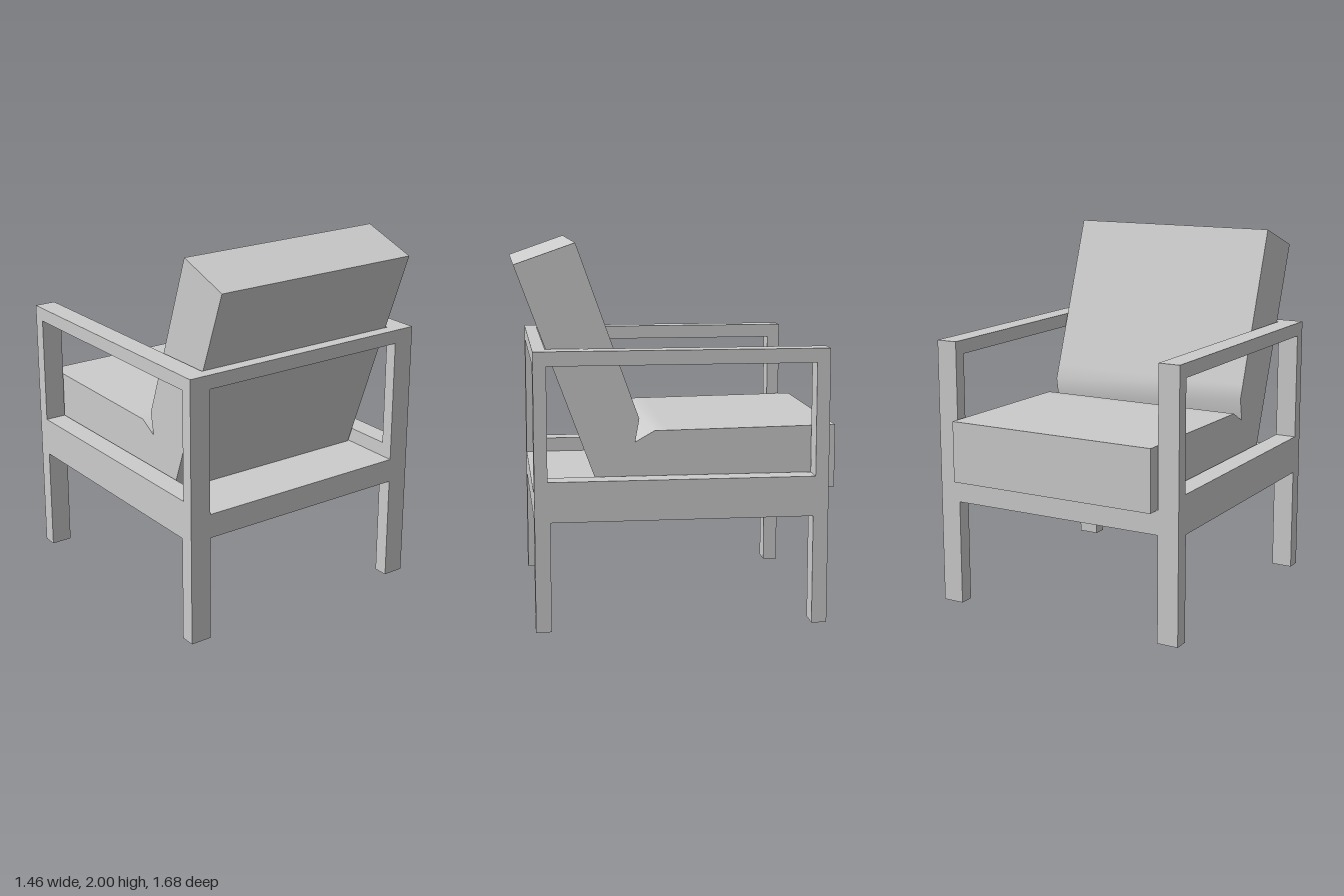
import * as THREE from 'three';
import { toCreasedNormals } from 'three/addons/utils/BufferGeometryUtils.js';

const material = new THREE.MeshStandardMaterial({ color: 0xcccccc });
const points = (list) => list.map(([z, y]) => new THREE.Vector2(z, y));

// Extrudes a (z, y) side profile across x, from x0 to x1
function sideExtrude(shape, x0, x1) {
  const geometry = new THREE.ExtrudeGeometry(shape, { depth: x1 - x0, bevelEnabled: false });
  geometry.rotateY(-Math.PI / 2);
  return geometry.translate(x1, 0, 0);
}

function addMesh(group, name, geometry) {
  const mesh = new THREE.Mesh(geometry, material);
  mesh.name = name;
  group.add(mesh);
}

// Box given by its lower and upper corners
function boxBetween(a, b) {
  const geometry = new THREE.BoxGeometry(b[0] - a[0], b[1] - a[1], b[2] - a[2]);
  return geometry.translate((a[0] + b[0]) / 2, (a[1] + b[1]) / 2, (a[2] + b[2]) / 2);
}

export function createModel() {
  const chair = new THREE.Group();
  chair.name = 'armchair';

  // Side frames: two legs, seat rail and armrest around an open window
  const frame = new THREE.Shape(points([
    [-0.78, 0], [-0.7, 0], [-0.7, 0.578], [0.672, 0.578],
    [0.672, 0], [0.753, 0], [0.753, 1.46], [-0.78, 1.46],
  ]));
  frame.holes.push(new THREE.Path(points([
    [-0.71, 0.79], [-0.71, 1.385], [0.685, 1.385], [0.685, 0.79],
  ])));
  addMesh(chair, 'leftSideFrame', sideExtrude(frame, 0.61, 0.728));
  addMesh(chair, 'rightSideFrame', sideExtrude(frame, -0.728, -0.61));

  // Seat deck and the top rail joining the back posts
  addMesh(chair, 'seatDeck', boxBetween([-0.61, 0.578, -0.78], [0.61, 0.71, 0.753]));
  addMesh(chair, 'backRail', boxBetween([-0.61, 1.385, 0.685], [0.61, 1.46, 0.753]));

  // Seat and leaning back cushion, with a notch where they meet
  const cushion = new THREE.Shape(points([
    [-0.84, 0.705], [0.404, 0.705], [0.84, 1.89], [0.525, 2],
    [0.229, 1.17], [0.2, 1.09], [0.222, 0.968],
    [0.12, 1.026], [0.05, 1.027], [-0.84, 1.04],
  ]));
  addMesh(chair, 'cushions', toCreasedNormals(sideExtrude(cushion, -0.6, 0.6), 0.61));

  return chair;
}
